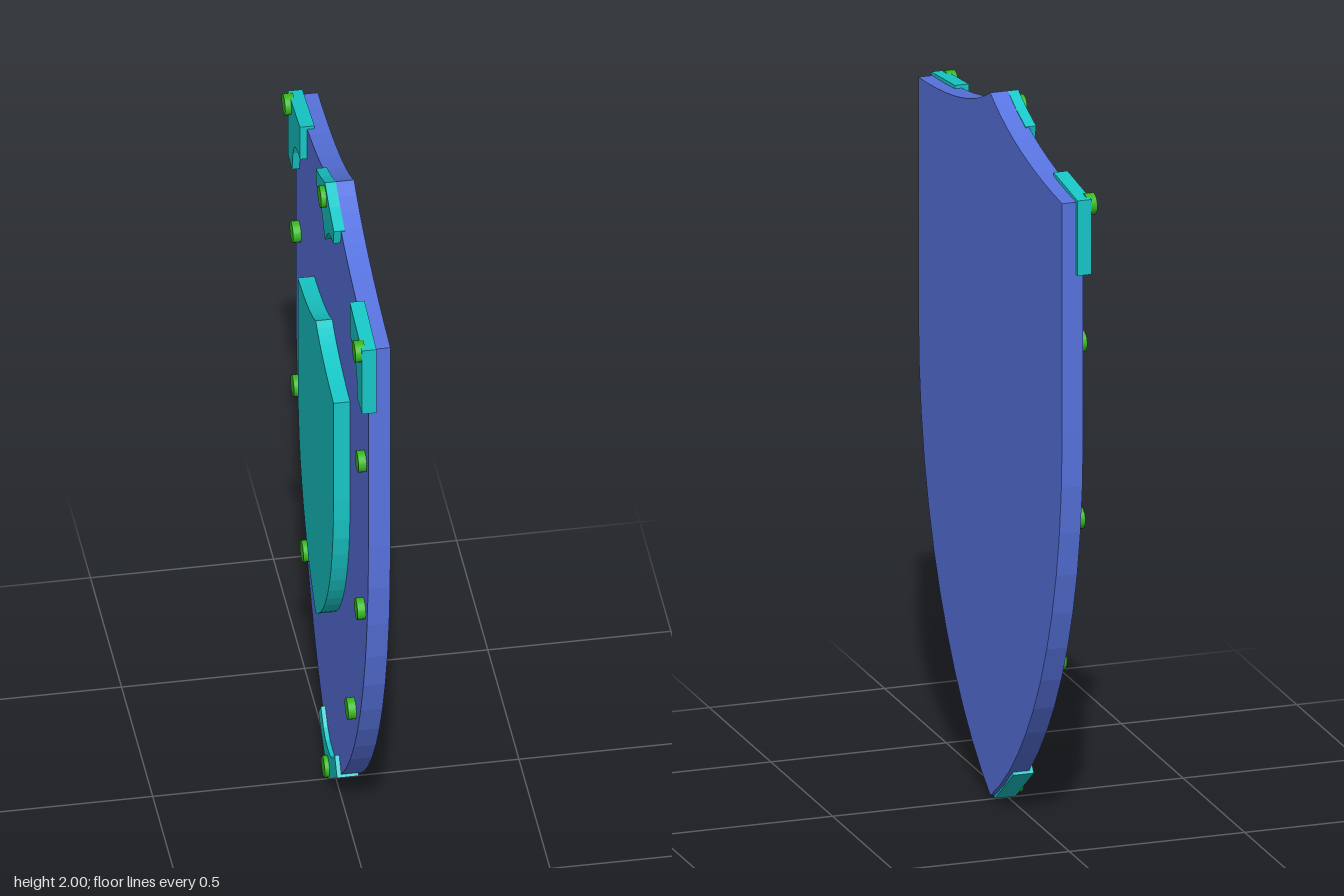
import * as THREE from 'three';

const blue = new THREE.MeshStandardMaterial({ color: 0x5874e0 });
const teal = new THREE.MeshStandardMaterial({ color: 0x18c8c8 });
const green = new THREE.MeshStandardMaterial({ color: 0x38b820 });

// Extrude an outline given as (z, y) points between two x positions
function plate(name, points, x0, x1, material) {
  const geometry = new THREE.ExtrudeGeometry(new THREE.Shape(points), {
    depth: x1 - x0, bevelEnabled: false,
  });
  geometry.rotateY(-Math.PI / 2).translate(x1, 0, 0);
  const mesh = new THREE.Mesh(geometry, material);
  mesh.name = name;
  return mesh;
}

const toPoints = (list) => list.map(([z, y]) => new THREE.Vector2(z, y));
const flip = (points) => points.map((p) => new THREE.Vector2(-p.x, p.y)).reverse();

// Close a half outline that starts and ends on the centre line
const symmetric = (half) => [...half, ...flip(half).slice(1, -1)];

// Half of the shield edge, from the top point down to the tip
function shieldOutline() {
  const v = (z, y) => new THREE.Vector2(z, y);
  const top = new THREE.QuadraticBezierCurve(v(0, 2), v(0.2, 1.89), v(0.583, 1.865));
  const side = new THREE.CubicBezierCurve(v(0.583, 1.2), v(0.583, 0.62), v(0.31, 0.2), v(0, 0.01));
  return symmetric([...top.getPoints(10), ...side.getPoints(12)]);
}

function rivet(name, z, y, x0, x1) {
  const geometry = new THREE.CylinderGeometry(0.03, 0.03, x1 - x0, 20);
  geometry.rotateZ(Math.PI / 2);
  const mesh = new THREE.Mesh(geometry, green);
  mesh.position.set((x0 + x1) / 2, y, z);
  mesh.name = name;
  return mesh;
}

export function createModel() {
  const group = new THREE.Group();
  group.name = 'shield';

  // Main board and the smaller raised shield on its face
  const outline = shieldOutline();
  group.add(plate('board', outline, -0.01, 0.05, blue));
  const small = outline.map((p) => new THREE.Vector2(p.x * 0.4925, 0.56 + (p.y - 0.01) * 0.4925));
  group.add(plate('raisedShield', small, -0.055, -0.01, teal));

  // Brackets on the two upper corners
  const corner = toPoints([
    [0.4, 1.893], [0.4, 1.785], [0.445, 1.782], [0.475, 1.772], [0.497, 1.752],
    [0.513, 1.722], [0.525, 1.66], [0.595, 1.66], [0.595, 1.872],
  ]);
  group.add(plate('cornerBracketFront', corner, -0.03, 0.01, teal));
  group.add(plate('cornerBracketBack', flip(corner), -0.03, 0.01, teal));

  // Plate under the top point
  const crest = toPoints([
    [0, 2], [0.07, 1.968], [0.145, 1.942], [0.135, 1.895], [0.09, 1.887],
    [0.055, 1.872], [0.03, 1.845], [0, 1.81],
  ]);
  group.add(plate('topPlate', symmetric(crest), -0.03, 0, teal));

  // Cap wrapped round the lower tip
  const tip = toPoints([
    [0, 0.1], [0.035, 0.103], [0.07, 0.12], [0.112, 0.16], [0.15, 0.112], [0, 0],
  ]);
  group.add(plate('tipCap', symmetric(tip), -0.022, 0.037, teal));

  // Rivets along both edges and on the corner brackets
  for (const side of [1, -1]) {
    for (const [z, y] of [[0.525, 1.45], [0.51, 0.945], [0.36, 0.5]]) {
      group.add(rivet('edgeRivet', side * z, y, -0.032, -0.005));
    }
    group.add(rivet('cornerRivet', side * 0.565, 1.85, -0.047, -0.02));
  }
  group.add(rivet('topRivet', 0, 1.955, -0.045, -0.02));
  group.add(rivet('tipRivet', 0, 0.042, -0.035, -0.01));

  return group;
}
